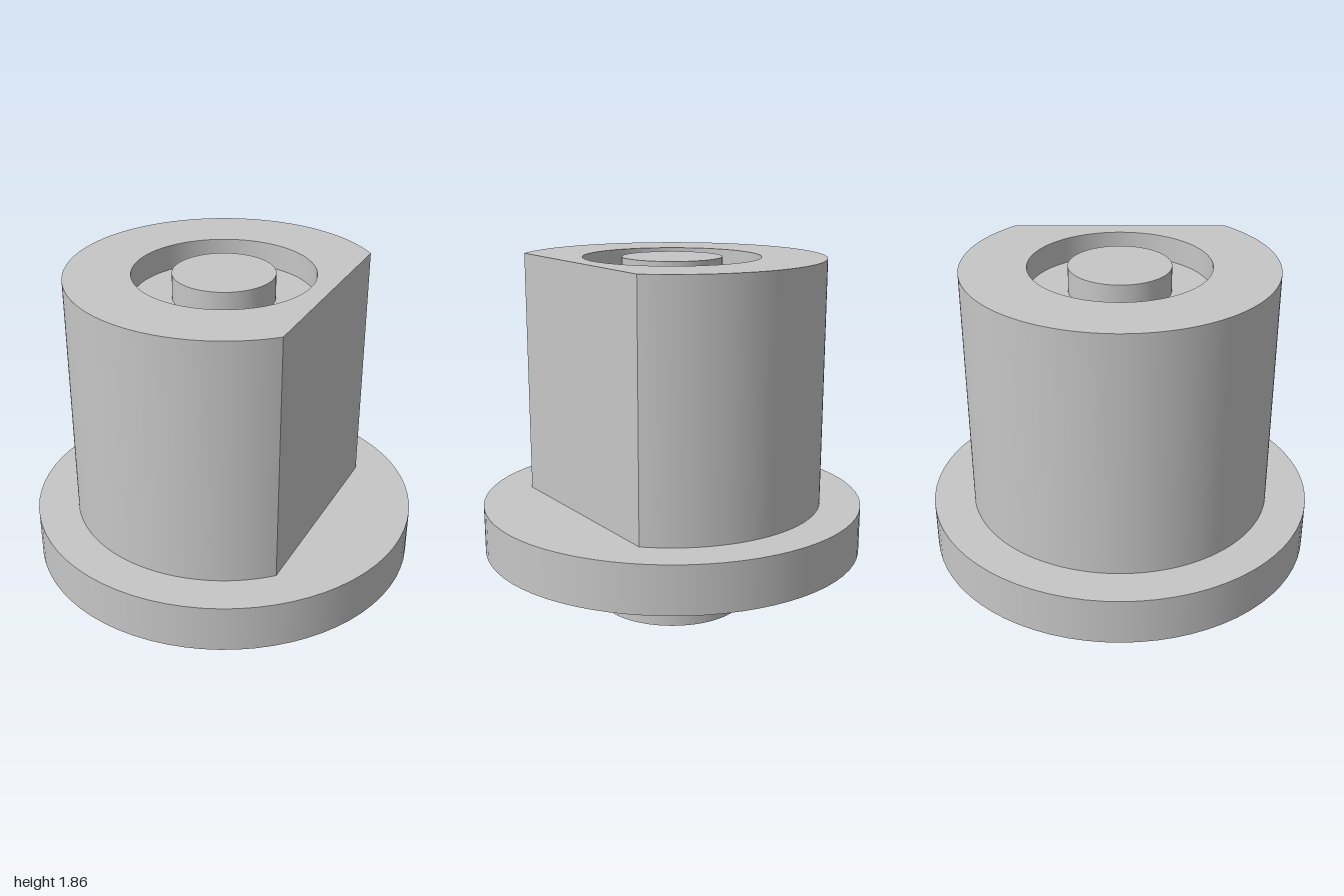
import * as THREE from 'three';
import { toCreasedNormals } from 'three/addons/utils/BufferGeometryUtils.js';

export function createModel() {
  const group = new THREE.Group();
  const grey = new THREE.MeshStandardMaterial({ color: 0xc6c6c6 });
  grey.name = 'plain grey';

  const add = (name, geometry) => {
    const mesh = new THREE.Mesh(geometry, grey);
    mesh.name = name;
    group.add(mesh);
  };
  // Upright cylinder between two heights
  const disc = (name, radius, y0, y1) =>
    add(name, new THREE.CylinderGeometry(radius, radius, y1 - y0, 72).translate(0, (y0 + y1) / 2, 0));

  const flangeBottom = 0.33, flangeTop = 0.58, top = 1.86, recessFloor = 1.73;
  const bodyRadius = 0.787, flatX = 0.557, recessRadius = 0.455;

  // Lower spigot and wide flange
  disc('spigot', 0.39, 0, flangeBottom);
  disc('flange', 1, flangeBottom, flangeTop);

  // Round body with one flat side at +x and a bore for the recess
  const half = Math.acos(flatX / bodyRadius);
  const outline = new THREE.Shape();
  outline.absarc(0, 0, bodyRadius, half, Math.PI * 2 - half, false);
  outline.closePath();
  const bore = new THREE.Path();
  bore.absarc(0, 0, recessRadius, 0, Math.PI * 2, true);
  outline.holes.push(bore);
  const body = new THREE.ExtrudeGeometry(outline, {
    depth: top - flangeTop, bevelEnabled: false, curveSegments: 72,
  });
  body.rotateX(-Math.PI / 2).translate(0, flangeTop, 0);
  add('body', toCreasedNormals(body, 0.5));

  // Recess floor and the central post, flush with the rim
  disc('recessFloor', recessRadius, flangeTop, recessFloor);
  disc('centrePost', 0.256, recessFloor, top);

  return group;
}
